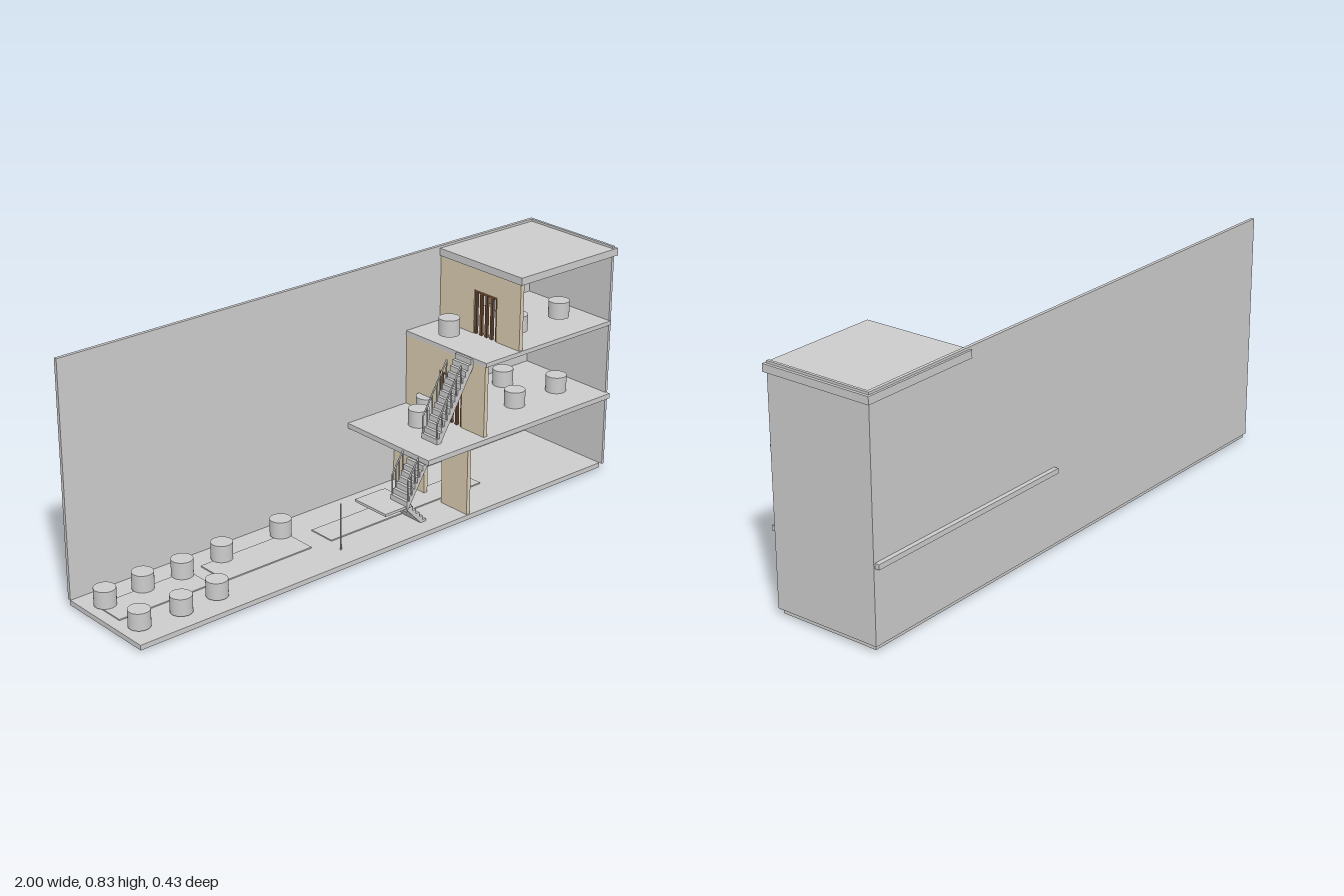
import * as THREE from 'three';

export function createModel() {
  const model = new THREE.Group();
  const grey = new THREE.MeshStandardMaterial({ color: 0xcccccc });
  const beige = new THREE.MeshStandardMaterial({ color: 0xd9ccb0 });
  const brown = new THREE.MeshStandardMaterial({ color: 0x6b4a30 });

  const add = (name, geometry, material = grey) => {
    const mesh = new THREE.Mesh(geometry, material);
    mesh.name = name;
    model.add(mesh);
    return mesh;
  };
  // Box given by its lower and upper corner
  const box = (name, [x0, y0, z0], [x1, y1, z1], material) => {
    const mesh = add(name, new THREE.BoxGeometry(x1 - x0, y1 - y0, z1 - z0), material);
    mesh.position.set((x0 + x1) / 2, (y0 + y1) / 2, (z0 + z1) / 2);
    return mesh;
  };
  // Thin rod between two points
  const rod = (name, a, b, r = 0.0025) => {
    const p = new THREE.Vector3(...a), q = new THREE.Vector3(...b);
    const d = q.clone().sub(p);
    const mesh = add(name, new THREE.CylinderGeometry(r, r, d.length(), 6));
    mesh.position.copy(p).add(q).multiplyScalar(0.5);
    mesh.quaternion.setFromUnitVectors(new THREE.Vector3(0, 1, 0), d.normalize());
  };

  // Ground, outer walls, floors and roof
  box('groundSlab', [-1, 0.008, -0.187], [0.975, 0.025, 0.185]);
  box('backWall', [-1, 0.025, -0.197], [0.985, 0.83, -0.185]);
  box('sideWall', [0.975, 0.025, -0.185], [0.985, 0.83, 0.197]);
  box('secondFloor', [0.13, 0.279, -0.213], [0.98, 0.297, 0.213]);
  box('thirdFloor', [0.39, 0.548, -0.19], [0.98, 0.563, 0.203]);
  box('roof', [0.54, 0.796, -0.205], [0.995, 0.822, 0.205]);

  // Low paving panels
  box('pavingPanel', [-0.96, 0.025, -0.1], [-0.61, 0.029, 0.02]);
  box('pavingPanel', [-0.56, 0.025, -0.1], [-0.21, 0.029, 0.03]);
  box('pavingPanel', [-0.13, 0.025, -0.065], [0.54, 0.029, 0.035]);

  // Cross walls with a doorway: x range, y range, doorway z range and top
  const crossWall = (x0, x1, y0, y1, zFront, d0, d1, doorTop, mullions) => {
    const shape = new THREE.Shape();
    [[-0.185, y0], [d0, y0], [d0, doorTop], [d1, doorTop], [d1, y0],
      [zFront, y0], [zFront, y1], [-0.185, y1]]
      .forEach(([z, y], i) => (i ? shape.lineTo(-z, y) : shape.moveTo(-z, y)));
    const geometry = new THREE.ExtrudeGeometry(shape, { depth: x1 - x0, bevelEnabled: false });
    geometry.rotateY(Math.PI / 2).translate(x0, 0, 0);
    add('crossWall', geometry, beige);
    // Door frame bars
    for (let i = 0; i < mullions; i++) {
      const z = d0 + (d1 - d0 - 0.01) * i / (mullions - 1);
      box('doorBar', [x0 + 0.003, y0, z], [x1 - 0.003, doorTop, z + 0.01], brown);
    }
    if (mullions) box('doorHead', [x0 + 0.003, doorTop - 0.01, d0], [x1 - 0.003, doorTop, d1], brown);
  };
  crossWall(0.338, 0.353, 0.025, 0.279, 0.18, -0.03, 0.055, 0.21, 0);
  crossWall(0.392, 0.407, 0.297, 0.548, 0.197, -0.02, 0.09, 0.47, 5);
  crossWall(0.545, 0.56, 0.563, 0.796, 0.197, -0.02, 0.09, 0.72, 5);

  // Round planters: x, bottom y, z
  const planters = [
    [-0.935, 0.029, -0.09], [-0.785, 0.029, -0.1], [-0.64, 0.029, -0.09],
    [-0.475, 0.029, -0.1], [-0.227, 0.029, -0.107],
    [-0.935, 0.029, 0.09], [-0.785, 0.029, 0.1], [-0.64, 0.029, 0.09],
    [0.305, 0.297, -0.025], [0.395, 0.297, -0.085], [0.44, 0.586, -0.028],
  ];
  for (const y of [0.298, 0.572]) {
    [[0.66, 0.07], [0.76, -0.09], [0.86, 0.07]].forEach(([x, z]) => planters.push([x, y, z]));
  }
  for (const [x, y, z] of planters) {
    add('planter', new THREE.CylinderGeometry(0.036, 0.036, 0.058, 32)).position.set(x, y + 0.029, z);
  }

  // Stepped flight with a sloping underside, from (x0, y0) to (x1, y1)
  const flight = (name, x0, y0, x1, y1, z0, z1, steps, drop) => {
    const dx = (x1 - x0) / steps, dy = (y1 - y0) / steps;
    const shape = new THREE.Shape();
    shape.moveTo(x0, y0 - drop);
    shape.lineTo(x0, y0);
    for (let i = 0; i < steps; i++) {
      shape.lineTo(x0 + i * dx, y0 + (i + 1) * dy);
      shape.lineTo(x0 + (i + 1) * dx, y0 + (i + 1) * dy);
    }
    shape.lineTo(x1, y1 - drop);
    const geometry = new THREE.ExtrudeGeometry(shape, { depth: z1 - z0, bevelEnabled: false });
    add(name, geometry.translate(0, 0, z0));
  };
  // Railing of posts and a sloping handrail
  const railing = (x0, y0, x1, y1, z, posts, height) => {
    for (let i = 0; i < posts; i++) {
      const t = i / (posts - 1), x = x0 + (x1 - x0) * t, y = y0 + (y1 - y0) * t;
      rod('railPost', [x, y, z], [x, y + height, z]);
    }
    rod('handrail', [x0, y0 + height, z], [x1, y1 + height, z], 0.003);
  };

  // Landing and its three flights
  box('landing', [-0.028, 0.136, 0.035], [0.085, 0.145, 0.185]);
  flight('lowerStairs', 0.205, 0.018, 0.085, 0.145, 0.038, 0.125, 8, 0.018);
  flight('middleStairs', 0.06, 0.145, 0.15, 0.29, 0.11, 0.19, 8, 0.02);
  flight('upperStairs', 0.235, 0.297, 0.392, 0.56, 0.065, 0.14, 14, 0.03);
  box('stairFoot', [0.19, 0, 0.04], [0.205, 0.012, 0.128]);
  for (const z of [0.113, 0.187]) railing(0.065, 0.16, 0.11, 0.23, z, 4, 0.075);
  for (const z of [0.068, 0.137]) railing(0.237, 0.305, 0.34, 0.48, z, 6, 0.068);

  // Free-standing pole
  rod('pole', [-0.145, 0.025, 0.1], [-0.145, 0.19, 0.1], 0.003);

  return model;
}
